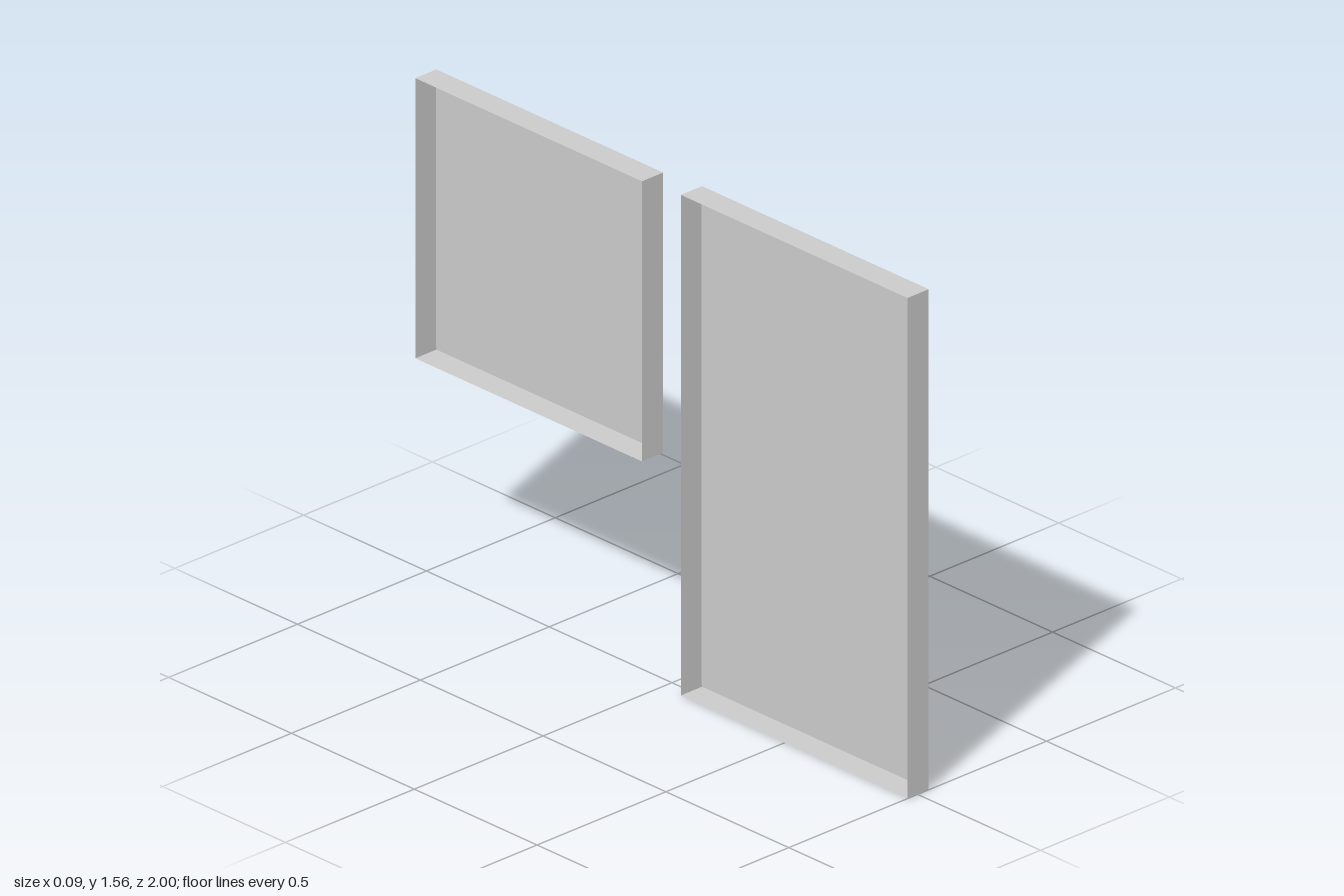
import * as THREE from 'three';

const RIM = 0.025;    // width of the border around the recess
const RECESS = 0.025; // depth of the recessed panel

// Rectangle of four corners in the plane at x, inset from the outline
function ring(x, { y0, y1, z0, z1 }, inset) {
  const a = y0 + inset, b = y1 - inset, c = z0 + inset, d = z1 - inset;
  return [[x, a, c], [x, b, c], [x, b, d], [x, a, d]];
}

// Flat-faced surface from a list of quads
function quadMesh(name, quads, material) {
  const positions = quads.flatMap(([a, b, c, d]) => [a, b, c, a, c, d].flat());
  const geometry = new THREE.BufferGeometry();
  geometry.setAttribute('position', new THREE.Float32BufferAttribute(positions, 3));
  geometry.computeVertexNormals();
  const mesh = new THREE.Mesh(geometry, material);
  mesh.name = name;
  return mesh;
}

// Four quads joining one ring to the next
function band(a, b) {
  return a.map((corner, i) => {
    const j = (i + 1) % 4;
    return [corner, a[j], b[j], b[i]];
  });
}

// Thin-walled door shell: open at the back (-x), recessed panel on +x
function makeDoor(name, xBack, xFront, outline, material) {
  const back = ring(xBack, outline, 0);
  const front = ring(xFront, outline, 0);
  const rim = ring(xFront, outline, RIM);
  const sunk = ring(xFront - RECESS, outline, RIM);

  const door = new THREE.Group();
  door.name = name;
  door.add(
    quadMesh('sideWalls', band(back, front), material),
    quadMesh('frontRim', band(front, rim), material),
    quadMesh('recessWalls', band(rim, sunk), material),
    quadMesh('recessedPanel', [sunk], material),
  );
  return door;
}

export function createModel() {
  const material = new THREE.MeshStandardMaterial({ color: 0xcccccc, side: THREE.DoubleSide });
  const model = new THREE.Group();
  model.name = 'cabinetDoors';

  model.add(
    makeDoor('tallDoor', -0.039, 0.043, { y0: 0, y1: 1.56, z0: 0.077, z1: 1 }, material),
    makeDoor('shortDoor', -0.043, 0.039, { y0: 0.677, y1: 1.55, z0: -1, z1: -0.077 }, material),
  );
  return model;
}
